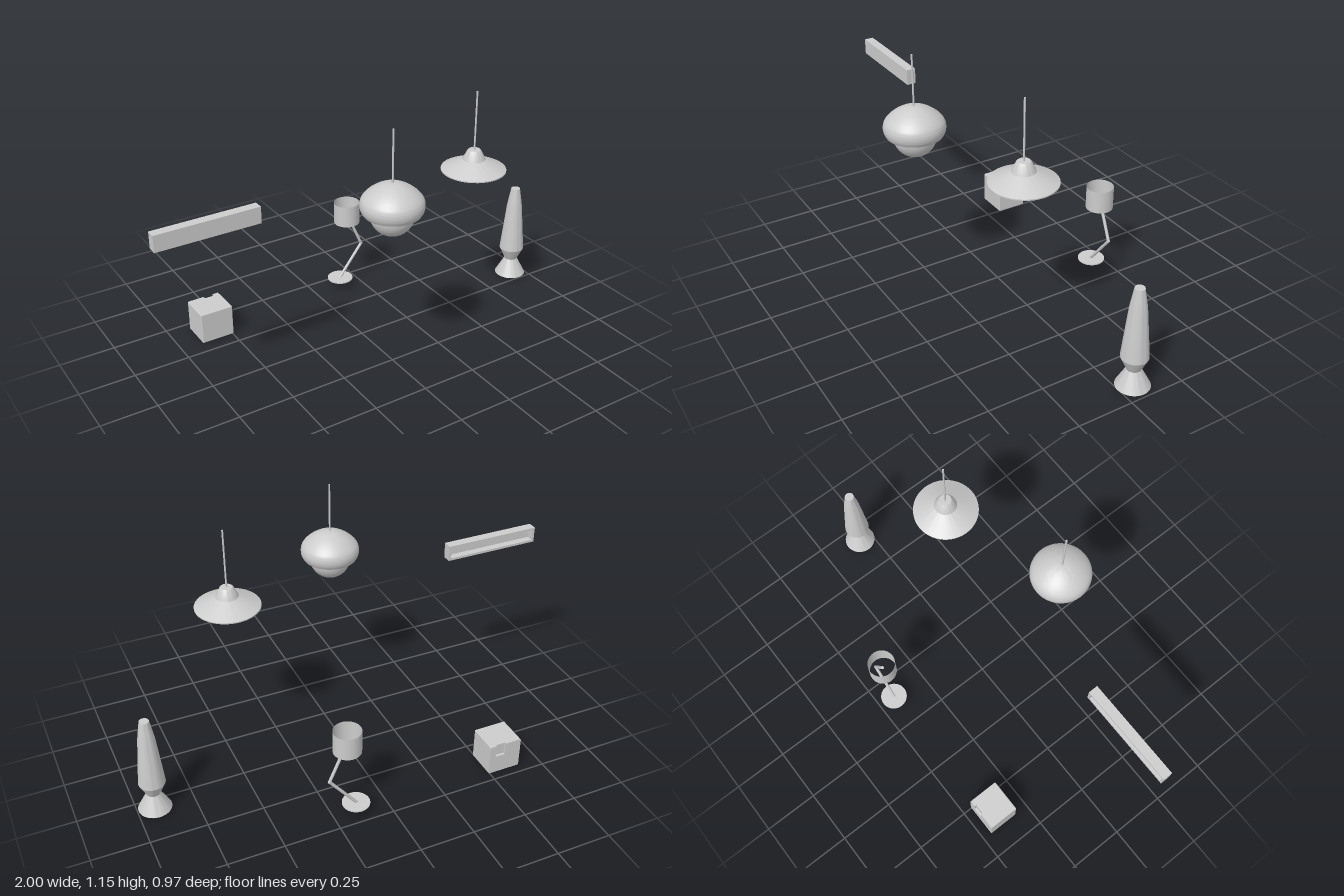
import * as THREE from 'three';
import { toCreasedNormals } from 'three/addons/utils/BufferGeometryUtils.js';
import { RoundedBoxGeometry } from 'three/addons/geometries/RoundedBoxGeometry.js';

const material = new THREE.MeshStandardMaterial({ color: 0xcccccc, side: THREE.DoubleSide });

function add(parent, name, geometry, x = 0, y = 0, z = 0) {
  const mesh = new THREE.Mesh(geometry, material);
  mesh.name = name;
  mesh.position.set(x, y, z);
  parent.add(mesh);
  return mesh;
}

function group(parent, name, x, z) {
  const g = new THREE.Group();
  g.name = name;
  g.position.set(x, 0, z);
  parent.add(g);
  return g;
}

// Surface of revolution from [radius, height] pairs, listed bottom to top
function turned(points, crease = 0.4) {
  const profile = points.map(([r, y]) => new THREE.Vector2(r, y));
  return toCreasedNormals(new THREE.LatheGeometry(profile, 48), crease);
}

// Straight round bar between two points
function bar(parent, name, from, to, radius) {
  const a = new THREE.Vector3(...from), b = new THREE.Vector3(...to);
  const mesh = add(parent, name, new THREE.CylinderGeometry(radius, radius, a.distanceTo(b), 12));
  mesh.position.copy(a).add(b).multiplyScalar(0.5);
  mesh.quaternion.setFromUnitVectors(new THREE.Vector3(0, 1, 0), b.sub(a).normalize());
}

function polygon(points) {
  return new THREE.Shape(points.map(([x, y]) => new THREE.Vector2(x, y)));
}

const rectangle = (w, h) => [[-w, -h], [w, -h], [w, h], [-w, h]];
const extrude = (shape, depth) => new THREE.ExtrudeGeometry(shape, { depth, bevelEnabled: false });

// Long housing with a closed front and a recess in the back
function wallLight(parent) {
  const g = group(parent, 'wallLight', -0.777, 0.123);
  const frame = polygon(rectangle(0.223, 0.036));
  frame.holes.push(new THREE.Path(polygon(rectangle(0.212, 0.025)).getPoints().reverse()));
  add(g, 'wallLightFrame', extrude(frame, 0.032), 0, 0.824, -0.021);
  add(g, 'wallLightFront', new THREE.BoxGeometry(0.446, 0.072, 0.01), 0, 0.824, 0.016);
}

// Domed hollow shade around a round globe
function domePendant(parent) {
  const g = group(parent, 'domePendant', -0.082, 0.351);
  bar(g, 'domeCord', [0, 0.92, 0], [0, 1.15, 0], 0.004);
  const outline = new THREE.SplineCurve([
    [0.119, 0.793], [0.128, 0.81], [0.131, 0.832], [0.125, 0.855], [0.107, 0.877],
    [0.077, 0.9], [0.045, 0.916], [0.02, 0.923], [0, 0.925],
  ].map(([r, y]) => new THREE.Vector2(r, y))).getPoints(32).map((p) => [Math.max(p.x, 0), p.y]);
  add(g, 'domeShade', turned(outline, 0.8));
  add(g, 'domeGlobe', new THREE.SphereGeometry(0.092, 48, 32), 0, 0.79, 0);
}

// Wide flat cone with a tapered cap
function conePendant(parent) {
  const g = group(parent, 'conePendant', 0.467, 0.168);
  bar(g, 'coneCord', [0, 0.86, 0], [0, 1.134, 0], 0.004);
  add(g, 'coneShade', turned([[0, 0.776], [0.142, 0.776], [0.142, 0.781], [0.049, 0.826], [0, 0.826]], 0.2));
  add(g, 'coneCap', turned([[0.049, 0.826], [0.045, 0.836], [0.03, 0.866], [0.026, 0.87], [0, 0.87]]));
}

// Tapered vessel on a flared foot
function tableLamp(parent) {
  const g = group(parent, 'taperedLamp', 0.924, -0.061);
  add(g, 'lampFoot', turned([[0, 0.012], [0.073, 0.012], [0.03, 0.093]]));
  add(g, 'lampCup', turned([[0.03, 0.093], [0.058, 0.152]]));
  add(g, 'lampVessel', turned([
    [0.058, 0.152], [0.057, 0.165], [0.036, 0.385], [0.032, 0.41], [0.021, 0.475], [0, 0.475],
  ]));
}

// Bent arm on a disc base, carrying an open drum shade
function deskLamp(parent) {
  const g = group(parent, 'deskLamp', 0.143, -0.423);
  add(g, 'deskBase', new THREE.CylinderGeometry(0.061, 0.061, 0.005, 48), 0, 0.043, 0);
  bar(g, 'lowerArm', [-0.002, 0.043, 0], [0.122, 0.2, 0], 0.007);
  bar(g, 'upperArm', [0.122, 0.2, 0], [0.041, 0.385, 0], 0.007);
  add(g, 'elbow', new THREE.SphereGeometry(0.0075, 16, 12), 0.122, 0.2, 0);
  add(g, 'drumShade', new THREE.CylinderGeometry(0.061, 0.061, 0.105, 48, 1, true), 0.041, 0.393, 0);
}

// Softly edged cube with a notch in the top of its back
function cubeLight(parent) {
  const g = group(parent, 'cubeLight', -0.572, -0.386);
  const w = 0.077, h = 0.147, c = 0.004;
  add(g, 'cubeBody', new RoundedBoxGeometry(2 * w, h, 0.131, 3, c), 0, h / 2, 0.0055);
  const back = polygon([
    [-w + c, 0], [w - c, 0], [w, c], [w, h - c], [w - c, h],
    [0.047, h], [0.047, 0.088], [0.002, 0.088], [0.002, h], [-w + c, h], [-w, h - c], [-w, c],
  ]);
  add(g, 'cubeNotchedBack', extrude(back, 0.016), 0, 0, -0.071);
}

export function createModel() {
  const model = new THREE.Group();
  model.name = 'lampCollection';
  [wallLight, domePendant, conePendant, tableLamp, deskLamp, cubeLight].forEach((build) => build(model));
  return model;
}
